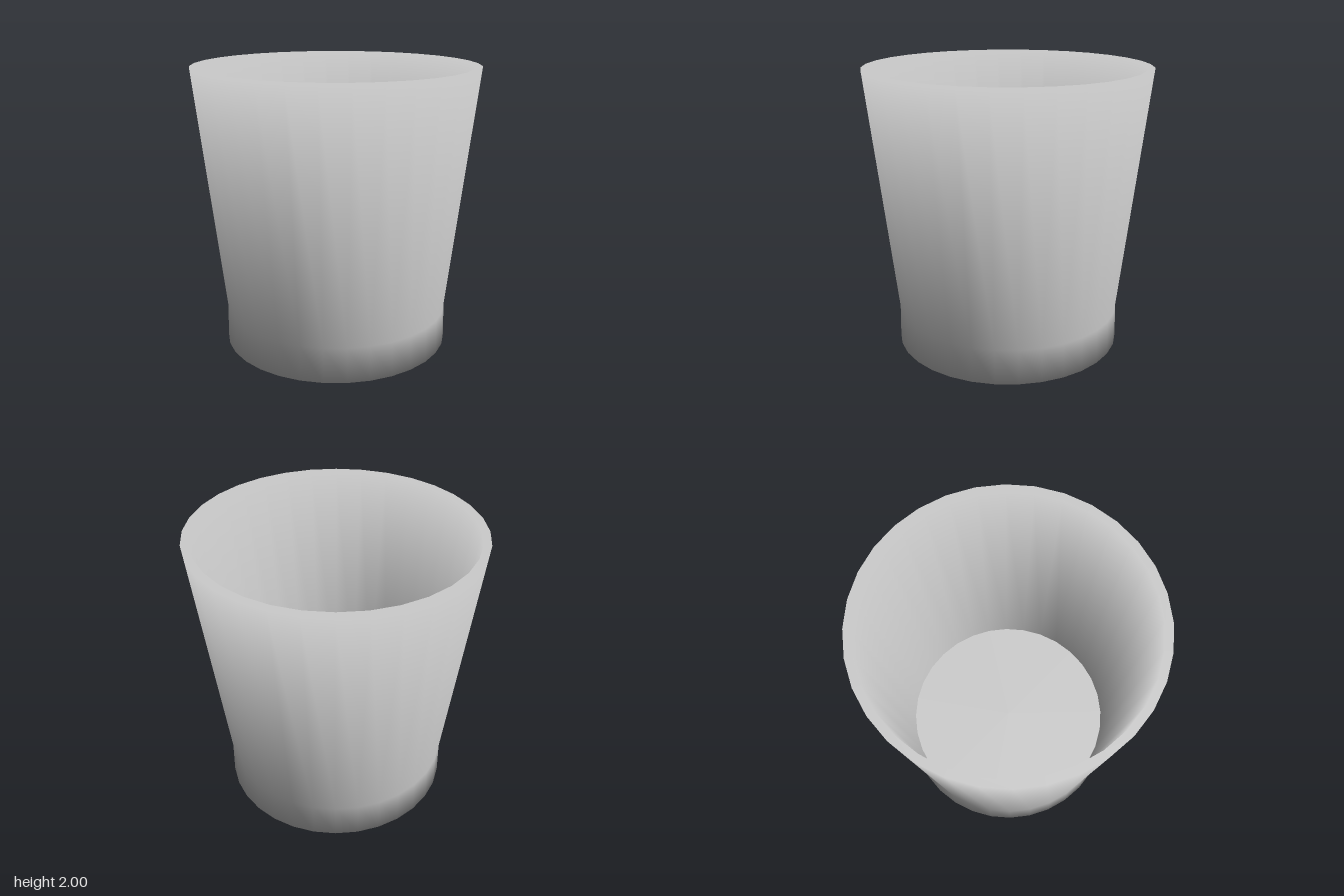
import * as THREE from 'three';

const SIDES = 32;

// Turns a profile of [radius, y, outward normal, upward normal] rings around the y axis
function turned(rings) {
  const geo = new THREE.LatheGeometry(rings.map(([r, y]) => new THREE.Vector2(r, y)), SIDES);
  const normal = geo.attributes.normal;
  for (let i = 0; i < normal.count; i++) {
    const angle = Math.floor(i / rings.length) / SIDES * Math.PI * 2;
    const [, , out, up] = rings[i % rings.length];
    const len = Math.hypot(out, up);
    normal.setXYZ(i, Math.sin(angle) * out / len, up / len, Math.cos(angle) * out / len);
  }
  return geo;
}

export function createModel() {
  const group = new THREE.Group();
  group.name = 'tumbler';
  const material = new THREE.MeshStandardMaterial({ color: 0xcccccc });

  const add = (name, rings) => {
    const mesh = new THREE.Mesh(turned(rings), material);
    mesh.name = name;
    group.add(mesh);
  };

  // Underside, short straight foot, flared wall, flat rim and inner wall, softly shaded
  add('wall', [
    [0, 0, 0, -1],
    [0.81, 0, 0, -1],
    [0.805, 0.25, 1, -0.05],
    [1, 2, 0, 1],
    [0.947, 2, 0, 1],
    [0.755, 0.25, -1, 0.1],
  ]);

  // Flat inner floor with a sharp edge against the wall
  add('floor', [
    [0.755, 0.25, 0, 1],
    [0, 0.25, 0, 1],
  ]);

  return group;
}
